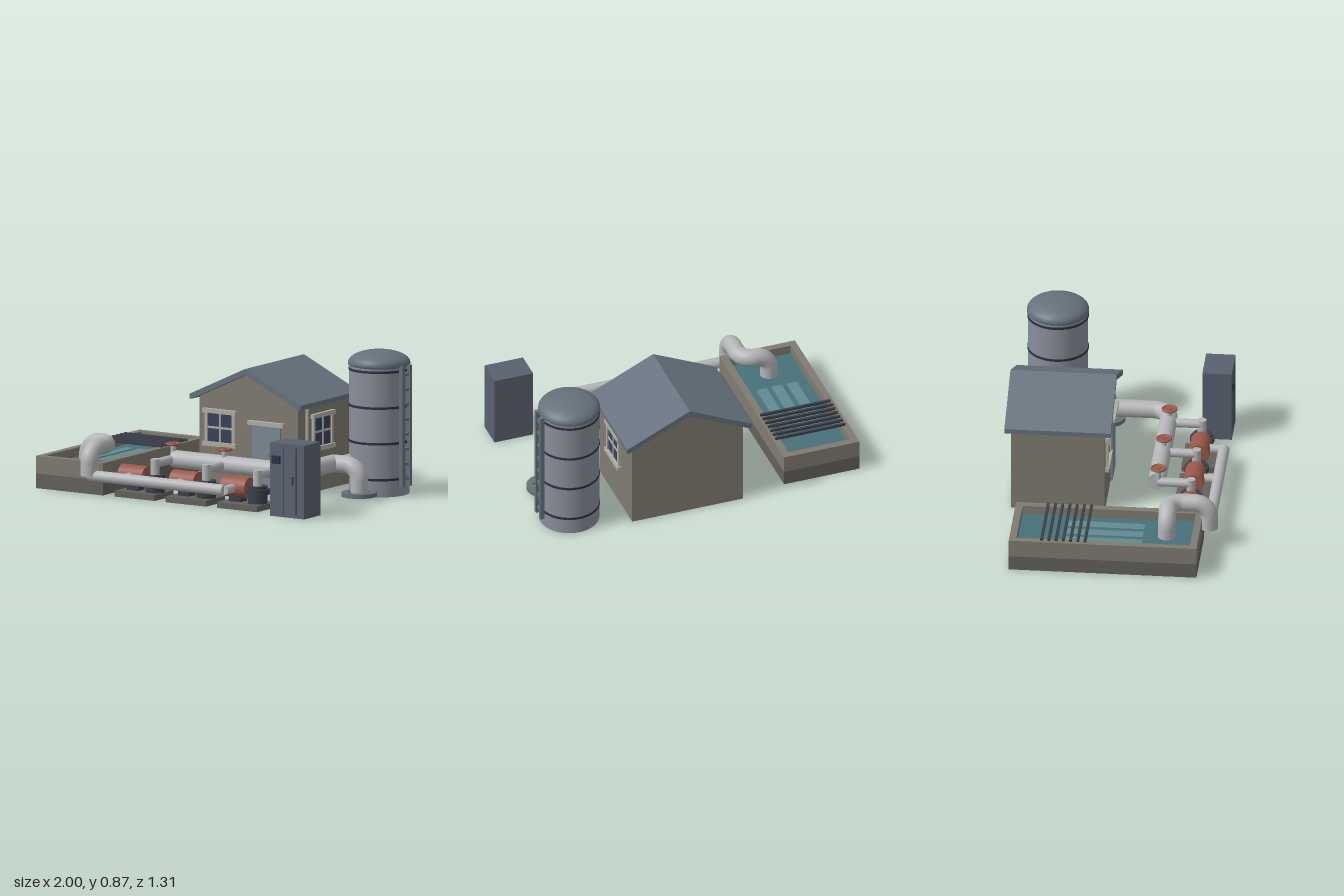
import * as THREE from 'three';

const mat = (color, side = THREE.FrontSide) => new THREE.MeshStandardMaterial({ color, side });
const M = {
  pipe: mat(0xb4b5b7), stone: mat(0x7f7b71), darkStone: mat(0x63615b), roof: mat(0x66727e),
  trim: mat(0xb0aea2), glass: mat(0x39415e), door: mat(0x7b8894), water: mat(0x47707a),
  strip: mat(0x628a90), dark: mat(0x3a3f48), red: mat(0x99584a), tank: mat(0x8a8e98),
  navy: mat(0x2a3046), cabinet: mat(0x59616f), flange: mat(0x65717b),
};

function add(parent, name, geometry, material, x = 0, y = 0, z = 0) {
  const mesh = new THREE.Mesh(geometry, material);
  mesh.name = name;
  mesh.position.set(x, y, z);
  parent.add(mesh);
  return mesh;
}

function group(parent, name, x = 0, y = 0, z = 0) {
  const g = new THREE.Group();
  g.name = name;
  g.position.set(x, y, z);
  parent.add(g);
  return g;
}

// Box given by its low and high corners
function box(parent, name, material, [x0, y0, z0], [x1, y1, z1]) {
  const geometry = new THREE.BoxGeometry(x1 - x0, y1 - y0, z1 - z0);
  return add(parent, name, geometry, material, (x0 + x1) / 2, (y0 + y1) / 2, (z0 + z1) / 2);
}

const cyl = (r, h) => new THREE.CylinderGeometry(r, r, h, 32);
const shape = (pts) => new THREE.Shape(pts.map(([x, y]) => new THREE.Vector2(x, y)));
const extrude = (s, depth) => new THREE.ExtrudeGeometry(s, { depth, bevelEnabled: false });

// Round pipe through corner points, with circular elbows and closed ends
function pipe(parent, name, points, r, bend = 0.1) {
  const g = group(parent, name);
  const p = points.map((a) => new THREE.Vector3(...a));
  const tube = (curve, n) => add(g, name + 'Run', new THREE.TubeGeometry(curve, n, r, 24), M.pipe);
  const cap = (at, dir) => {
    const c = add(g, name + 'End', new THREE.CircleGeometry(r, 24), M.pipe, ...at.toArray());
    c.quaternion.setFromUnitVectors(new THREE.Vector3(0, 0, 1), dir);
  };
  let start = p[0];
  for (let i = 1; i < p.length; i++) {
    const dir = p[i].clone().sub(p[i - 1]).normalize();
    if (i === 1) cap(p[0], dir.clone().negate());
    if (i === p.length - 1) {
      tube(new THREE.LineCurve3(start, p[i]), 1);
      cap(p[i], dir);
      break;
    }
    const next = p[i + 1].clone().sub(p[i]).normalize();
    const a = p[i].clone().addScaledVector(dir, -bend), b = p[i].clone().addScaledVector(next, bend);
    if (start.distanceTo(a) > 0.001) tube(new THREE.LineCurve3(start, a), 1);
    const k = bend * 0.5523;
    tube(new THREE.CubicBezierCurve3(a, a.clone().addScaledVector(dir, k), b.clone().addScaledVector(next, -k), b), 12);
    start = b;
  }
  return g;
}

function buildBasin(root) {
  const g = group(root, 'basin');
  const ring = shape([[-1, -0.56], [-0.52, -0.56], [-0.52, 0.565], [-1, 0.565]]);
  ring.holes.push(shape([[-0.957, -0.517], [-0.957, 0.522], [-0.565, 0.522], [-0.565, -0.517]]));
  const lower = add(g, 'lowerWall', extrude(ring, 0.09), M.darkStone);
  const upper = add(g, 'upperWall', extrude(ring, 0.105), M.stone, 0, 0.09, 0);
  lower.rotation.x = upper.rotation.x = -Math.PI / 2;
  box(g, 'floor', M.dark, [-0.96, 0.002, -0.525], [-0.56, 0.03, 0.52]);
  box(g, 'water', M.water, [-0.957, 0.03, -0.522], [-0.565, 0.14, 0.517]);
  for (let i = 0; i < 3; i++) {
    const x = -0.888 + i * 0.096;
    box(g, 'waterStrip', M.strip, [x, 0.138, -0.24], [x + 0.066, 0.145, 0.22]);
  }
  // Screen bars across the top
  for (let i = 0; i < 7; i++) {
    const z = -0.37 + i * 0.0433;
    box(g, 'screenBar', M.dark, [-0.98, 0.193, z - 0.008], [-0.535, 0.208, z + 0.008]);
  }
}

function buildWindow(parent, x, y, z, turn) {
  const g = group(parent, 'window', x, y, z);
  g.rotation.y = turn;
  box(g, 'glass', M.glass, [-0.09, -0.09, 0], [0.09, 0.09, 0.006]);
  for (const s of [-1, 1]) {
    box(g, 'jamb', M.trim, [s * 0.097 - 0.01, -0.1, 0], [s * 0.097 + 0.01, 0.1, 0.016]);
    box(g, 'sill', M.trim, [-0.118, s * 0.1 - 0.013, 0], [0.118, s * 0.1 + 0.013, 0.024]);
  }
  box(g, 'mullion', M.trim, [-0.006, -0.09, 0], [0.006, 0.09, 0.012]);
  box(g, 'crossbar', M.trim, [-0.09, -0.006, 0], [0.09, 0.006, 0.012]);
}

function buildHouse(root) {
  const g = group(root, 'pumpHouse', 0.113, 0, 0);
  const walls = shape([[-0.352, 0], [0.352, 0], [0.352, 0.55], [0, 0.715], [-0.352, 0.55]]);
  add(g, 'walls', extrude(walls, 0.56), M.stone, 0, 0, -0.62);
  const roof = shape([[-0.397, 0.528], [-0.384, 0.526], [0, 0.706], [0.384, 0.526], [0.397, 0.528],
    [0.397, 0.556], [0, 0.742], [-0.397, 0.556]]);
  add(g, 'roof', extrude(roof, 0.637), M.roof, 0, 0, -0.657);
  buildWindow(g, -0.2, 0.362, -0.06, 0);
  buildWindow(g, 0.352, 0.362, -0.315, Math.PI / 2);
  box(g, 'door', M.door, [0.03, 0, -0.06], [0.232, 0.405, -0.048]);
  box(g, 'doorLintel', M.trim, [0.008, 0.405, -0.06], [0.262, 0.43, -0.03]);
  add(g, 'downspout', cyl(0.01, 0.47), M.trim, 0.385, 0.285, -0.11);
}

function buildTank(root) {
  const g = group(root, 'tank', 0.798, 0, -0.435);
  add(g, 'shell', new THREE.CylinderGeometry(0.18, 0.18, 0.78, 48), M.tank, 0, 0.39, 0);
  const dome = [[0.18, 0.775], [0.186, 0.78], [0.186, 0.79]].map(([x, y]) => new THREE.Vector2(x, y));
  for (let i = 1; i <= 12; i++) {
    const a = (i / 12) * Math.PI / 2;
    dome.push(new THREE.Vector2(Math.max(0, 0.186 * Math.cos(a)), 0.79 + 0.075 * Math.sin(a)));
  }
  add(g, 'dome', new THREE.LatheGeometry(dome, 48), M.flange);
  for (const y of [0.105, 0.322, 0.538, 0.755])
    add(g, 'band', new THREE.CylinderGeometry(0.184, 0.184, 0.014, 48), M.navy, 0, y, 0);
  // Ladder on the outer side
  for (const z of [-0.038, 0.038])
    box(g, 'ladderRail', M.flange, [0.176, 0.055, z - 0.013], [0.202, 0.785, z + 0.013]);
  for (let i = 0; i < 8; i++) {
    const y = 0.1 + i * 0.09;
    box(g, 'ladderRung', M.flange, [0.18, y - 0.008, -0.035], [0.196, y + 0.008, 0.035]);
  }
}

function buildPump(root, x) {
  const g = group(root, 'pump', x, 0, 0.455);
  box(g, 'base', M.darkStone, [-0.225, 0, -0.105], [0.062, 0.036, 0.1]);
  box(g, 'foot', M.dark, [-0.18, 0.036, -0.035], [-0.1, 0.075, 0.035]);
  add(g, 'motor', cyl(0.063, 0.175), M.red, -0.142, 0.122, 0).rotation.z = Math.PI / 2;
  add(g, 'volute', cyl(0.058, 0.105), M.dark, 0, 0.088, 0);
  add(g, 'voluteRim', cyl(0.073, 0.03), M.dark, 0, 0.107, 0);
  pipe(g, 'outlet', [[0, 0.13, 0], [0, 0.235, 0]], 0.027);
  pipe(g, 'outletArm', [[0, 0.207, 0], [0, 0.207, -0.2]], 0.027);
  pipe(g, 'inlet', [[-0.142, 0.12, 0.04], [-0.142, 0.12, 0.145]], 0.027);
  // Hand-wheel valve above the header
  const valve = group(g, 'valve', 0, 0, -0.195);
  add(valve, 'stem', cyl(0.016, 0.07), M.pipe, 0, 0.265, 0);
  add(valve, 'wheel', new THREE.TorusGeometry(0.041, 0.007, 10, 32), M.red, 0, 0.299, 0).rotation.x = Math.PI / 2;
  add(valve, 'wheelDisc', cyl(0.037, 0.006), M.red, 0, 0.299, 0);
  add(valve, 'hub', cyl(0.016, 0.016), M.red, 0, 0.299, 0);
}

function buildCabinet(root) {
  const g = group(root, 'controlCabinet');
  box(g, 'body', M.cabinet, [0.708, 0, 0.438], [0.953, 0.445, 0.614]);
  for (const x of [0.805, 0.895])
    box(g, 'seam', M.navy, [x - 0.002, 0.02, 0.61], [x + 0.002, 0.425, 0.616]);
  box(g, 'display', M.navy, [0.73, 0.32, 0.61], [0.783, 0.368, 0.628]);
  box(g, 'handle', M.dark, [0.868, 0.2, 0.61], [0.876, 0.25, 0.622]);
}

export function createModel() {
  const root = new THREE.Group();
  root.name = 'pumpingStation';
  buildBasin(root);
  buildHouse(root);
  buildTank(root);
  buildCabinet(root);
  for (let i = 0; i < 3; i++) buildPump(root, -0.216 + i * 0.366);

  // Suction line out of the basin
  pipe(root, 'suctionElbow', [[-0.76, 0.05, 0.36], [-0.76, 0.282, 0.36], [-0.59, 0.282, 0.36],
    [-0.59, 0.282, 0.6], [-0.59, 0.12, 0.6]], 0.053, 0.084);
  pipe(root, 'suctionHeader', [[-0.59, 0.12, 0.598], [0.37, 0.12, 0.598]], 0.034);

  // Discharge line to the tank and the ground outlet
  pipe(root, 'dischargeHeader', [[-0.216, 0.207, 0.25], [0.667, 0.207, 0.25], [0.667, 0.207, -0.142]], 0.053, 0.1);
  pipe(root, 'tankInlet', [[0.667, 0.207, -0.14], [0.667, 0.207, -0.4]], 0.033);
  pipe(root, 'groundOutlet', [[0.667, 0.207, -0.14], [0.85, 0.207, -0.14], [0.85, 0.03, -0.14]], 0.053, 0.09);
  const profile = [[0.064, 0.025], [0.105, 0.025], [0.105, 0.05], [0.064, 0.05], [0.064, 0.025]];
  const ring = new THREE.LatheGeometry(profile.map(([x, y]) => new THREE.Vector2(x, y)), 40).toNonIndexed();
  ring.computeVertexNormals();
  add(root, 'outletFlange', ring, M.flange, 0.85, 0, -0.14);
  return root;
}
